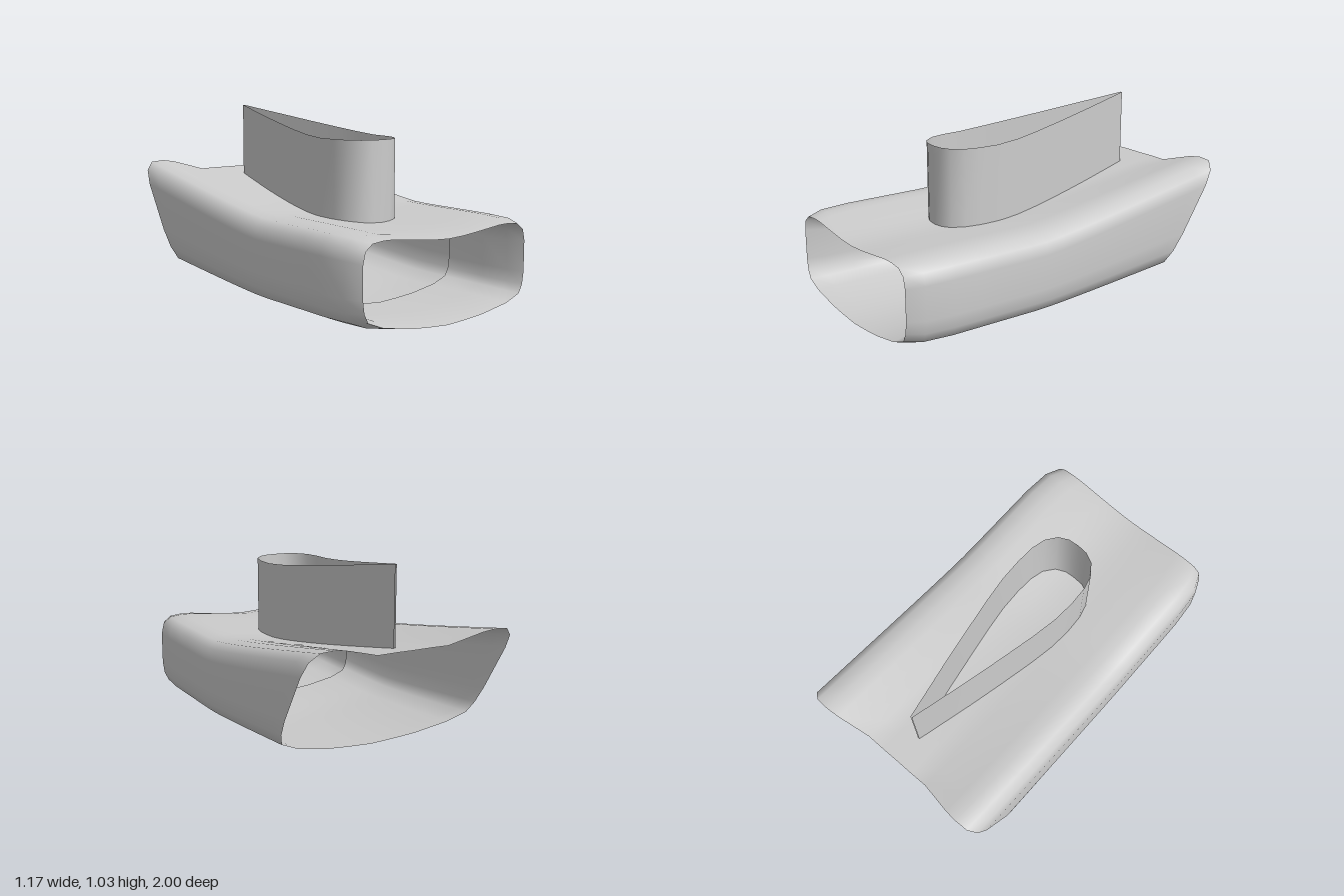
import * as THREE from 'three';

const material = new THREE.MeshStandardMaterial({ color: 0xcccccc, side: THREE.DoubleSide });

// Skin a list of equal-length rows of points; closed joins each row into a ring.
function loft(name, rows, closed) {
  const n = rows[0].length, index = [];
  for (let i = 0; i < rows.length - 1; i++) {
    for (let j = 0; j < (closed ? n : n - 1); j++) {
      const k = (j + 1) % n;
      const a = i * n + j, b = i * n + k, c = a + n, d = b + n;
      index.push(a, c, b, b, c, d);
    }
  }
  const geometry = new THREE.BufferGeometry();
  geometry.setAttribute('position', new THREE.Float32BufferAttribute(rows.flat(2), 3));
  geometry.setIndex(index);
  geometry.computeVertexNormals();
  const mesh = new THREE.Mesh(geometry, material);
  mesh.name = name;
  return mesh;
}

// Upward sweep of the body: level in front, rising steadily to the rear.
function sweep(z) {
  const u = Math.max(0, 0.25 - z);
  return u * u / (u + 0.2);
}

// Half section of the duct from bottom centre to top centre: x, y, rise.
const half = [
  [0, 0.005, 0.08], [0.13, 0.013, 0.08], [0.26, 0.025, 0.08], [0.45, 0.06, 0.085],
  [0.55, 0.10, 0.09], [0.575, 0.15, 0.105], [0.585, 0.22, 0.125], [0.585, 0.40, 0.175],
  [0.57, 0.465, 0.18], [0.525, 0.5, 0.184], [0.45, 0.508, 0.181], [0.38, 0.506, 0.174],
  [0.2, 0.485, 0.149], [0.1, 0.475, 0.16], [0, 0.47, 0.164],
];
const section = [...half, ...half.slice(1, -1).reverse().map(([x, y, r]) => [-x, y, r])];

// Ring of the duct, scaled about its middle and leaned back by the shear.
function ring(zBase, scale = 1, shear = 0) {
  return section.map(([px, py, rise]) => {
    const y0 = 0.28 + (py - 0.28) * scale;
    let y = y0, z = zBase;
    for (let i = 0; i < 8; i++) {
      z = zBase - shear * (y - 0.06);
      y = y0 + rise * sweep(z);
    }
    return [px * scale, y, z];
  });
}

export function createModel() {
  const model = new THREE.Group();
  model.name = 'ductWithStrut';

  // Outer skin: tapered front lip, then a body ending in a slanted cut
  const outer = [ring(1, 0.915), ring(0.91, 0.98), ring(0.75)];
  const steps = 14;
  for (let i = 0; i <= steps; i++) {
    const t = i / steps;
    outer.push(ring(0.6 - 1.19 * t, 1, 0.64 * t));
  }
  model.add(loft('ductShell', outer, true));

  // Inner lip, turned inward from the front edge
  const inner = [[0.5, 0.84], [0.75, 0.845], [0.91, 0.865], [1, 0.915]];
  model.add(loft('inletLip', inner.map(([z, s]) => ring(z, s)), true));

  // Hollow strut: rounded nose, straight taper to a thin open tail
  const side = [
    [0.004, -0.795], [0.04, -0.63], [0.075, -0.47], [0.115, -0.27], [0.155, -0.06],
    [0.178, 0.09], [0.185, 0.22], [0.18, 0.33], [0.16, 0.41], [0.115, 0.47], [0.06, 0.497],
  ];
  const outline = [...side, [0, 0.502], ...[...side].reverse().map(([x, z]) => [-x, z])];
  const foot = outline.map(([x, z]) =>
    [x, 0.465 + 0.07 * Math.abs(x) + (0.164 - 0.07 * Math.abs(x)) * sweep(z), z]);
  const rim = outline.map(([x, z]) => [x, 0.9 + 0.149 * sweep(z), z]);
  model.add(loft('strut', [foot, rim], false));

  return model;
}
